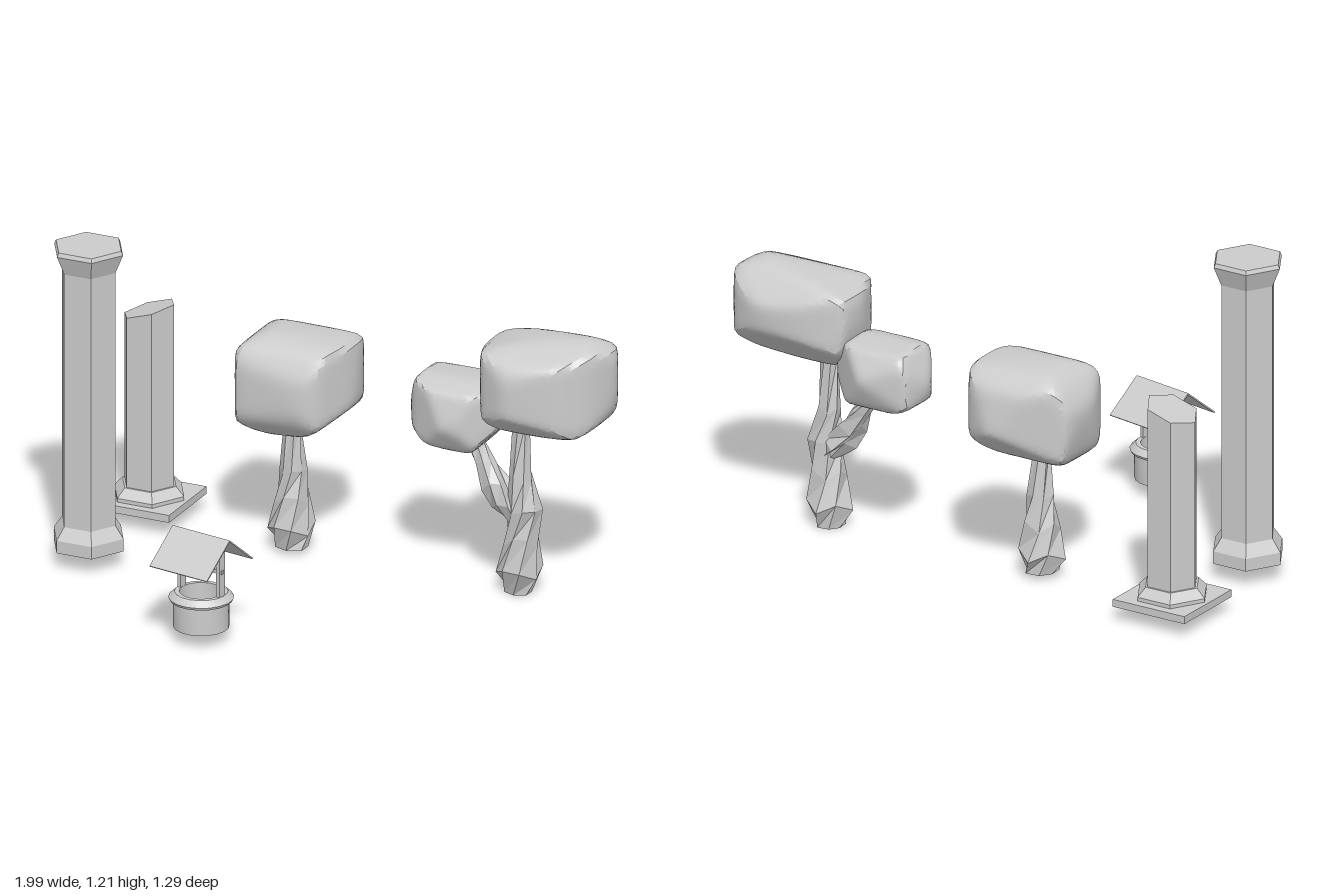
import * as THREE from 'three';
import { toCreasedNormals } from 'three/addons/utils/BufferGeometryUtils.js';

const smooth = new THREE.MeshStandardMaterial({ color: 0xcccccc });
const flat = new THREE.MeshStandardMaterial({ color: 0xcccccc, flatShading: true });

function add(parent, name, geometry, material, x = 0, y = 0, z = 0) {
  const mesh = new THREE.Mesh(geometry, material);
  mesh.name = name;
  mesh.position.set(x, y, z);
  parent.add(mesh);
  return mesh;
}

function group(parent, name) {
  const g = new THREE.Group();
  g.name = name;
  parent.add(g);
  return g;
}

// Turned profile of [radius, y] pairs, with corners on the x axis when six-sided
function turned(profile, sides) {
  return new THREE.LatheGeometry(profile.map(([r, y]) => new THREE.Vector2(r, y)), sides, Math.PI / 2);
}

// Leafy boulder: a sphere pushed out to the rounded intersection of three outlines.
// front holds x,y pairs, side holds z,y pairs, top holds x,z pairs.
function crown(center, front, side, top) {
  const planes = [];
  for (const [outline, u, v] of [[front, 0, 1], [side, 2, 1], [top, 0, 2]]) {
    outline.forEach(([a, b], i) => {
      const [c, d] = outline[(i + 1) % outline.length];
      const n = [0, 0, 0];
      const length = Math.hypot(c - a, d - b);
      n[u] = (d - b) / length;
      n[v] = (a - c) / length;
      const h = n[u] * (a - center[u]) + n[v] * (b - center[v]);
      planes.push(new THREE.Vector3(...n).divideScalar(h));
    });
  }
  const geometry = new THREE.IcosahedronGeometry(1, 11);
  const p = geometry.attributes.position;
  const d = new THREE.Vector3();
  const power = 26;
  for (let i = 0; i < p.count; i++) {
    d.fromBufferAttribute(p, i).normalize();
    let sum = 0;
    for (const n of planes) sum += Math.max(0, n.dot(d)) ** power;
    d.multiplyScalar(1.02 * sum ** (-1 / power));
    p.setXYZ(i, d.x + center[0], d.y + center[1], d.z + center[2]);
  }
  return toCreasedNormals(geometry, 0.4);
}

// Gnarled trunk through rings of [x, y, z, radius]
function trunk(rings, sides = 7) {
  const points = [], index = [];
  rings.forEach(([x, y, z, r], k) => {
    for (let i = 0; i < sides; i++) {
      const a = (i + 0.45 * k) / sides * Math.PI * 2;
      const rr = r * (1 + 0.1 * Math.sin(i * 2.4 + k * 1.7));
      const lift = k > 0 && k < rings.length - 1 ? 0.02 * Math.sin(i * 3.1 + k) : 0;
      points.push(x + rr * Math.sin(a), y + lift, z + rr * Math.cos(a));
    }
  });
  const last = (rings.length - 1) * sides;
  for (let i = 0; i < sides; i++) {
    const j = (i + 1) % sides;
    for (let k = 0; k < last; k += sides) {
      index.push(k + i, k + j, k + sides + j, k + i, k + sides + j, k + sides + i);
    }
    if (i > 0 && i < sides - 1) index.push(0, j, i, last, last + i, last + j);
  }
  const geometry = new THREE.BufferGeometry();
  geometry.setAttribute('position', new THREE.Float32BufferAttribute(points, 3));
  geometry.setIndex(index);
  geometry.computeVertexNormals();
  return geometry;
}

export function createModel() {
  const model = new THREE.Group();
  model.name = 'gardenScene';

  // Whole six-sided column
  add(model, 'tallColumn', turned([
    [0, 0.063], [0.137, 0.063], [0.137, 0.11], [0.105, 0.155],
    [0.105, 1.118], [0.135, 1.19], [0.128, 1.205], [0, 1.205],
  ], 6), flat, -0.85, 0, 0);

  // Broken column on a square plinth, its top sheared off at a slant
  const broken = group(model, 'brokenColumn');
  broken.position.set(-0.845, 0, -0.483);
  add(broken, 'plinth', new THREE.BoxGeometry(0.302, 0.028, 0.306), flat, 0, 0.069, 0);
  const stump = turned([
    [0, 0.08], [0.137, 0.08], [0.137, 0.097], [0.105, 0.13], [0.097, 0.13], [0.097, 0.79], [0, 0.79],
  ], 6);
  const p = stump.attributes.position;
  for (let i = 0; i < p.count; i++) {
    if (p.getY(i) > 0.7) p.setY(i, p.getY(i) + 0.32 * p.getX(i));
  }
  add(broken, 'brokenShaft', stump, flat);

  // Well with a gabled roof
  const well = group(model, 'well');
  well.position.set(-0.172, 0, 0.49);
  well.rotation.y = -0.18;
  add(well, 'wellWall', toCreasedNormals(turned([
    [0, 0.053], [0.1, 0.053], [0.1, 0.152], [0.112, 0.155], [0.117, 0.165],
    [0.095, 0.186], [0.078, 0.186], [0.078, 0.09], [0, 0.09],
  ], 18), 0.5), smooth);
  for (const s of [-1, 1]) {
    add(well, 'roofPost', new THREE.BoxGeometry(0.014, 0.21, 0.034), flat, s * 0.085, 0.285, 0);
    const panel = add(well, 'roofPanel', new THREE.BoxGeometry(0.25, 0.005, 0.176), flat, 0, 0.349, s * 0.0685);
    panel.rotation.x = s * 0.677;
  }
  add(well, 'crossbar', new THREE.BoxGeometry(0.19, 0.014, 0.014), flat, 0, 0.278, 0);

  // Single tree
  const tree = group(model, 'singleTree');
  add(tree, 'trunk', trunk([
    [-0.245, 0.02, -0.41, 0.06], [-0.25, 0.09, -0.41, 0.083], [-0.25, 0.2, -0.41, 0.064],
    [-0.245, 0.31, -0.41, 0.047], [-0.25, 0.5, -0.41, 0.03],
  ]), flat);
  add(tree, 'crown', crown([-0.24, 0.64, -0.44],
    [[-0.473, 0.69], [-0.41, 0.79], [-0.33, 0.835], [-0.15, 0.83], [-0.03, 0.81], [-0.01, 0.66],
      [-0.02, 0.58], [-0.155, 0.475], [-0.325, 0.44], [-0.43, 0.505], [-0.46, 0.6]],
    [[-0.232, 0.6], [-0.24, 0.7], [-0.3, 0.8], [-0.4, 0.84], [-0.54, 0.82], [-0.615, 0.757],
      [-0.65, 0.6], [-0.555, 0.5], [-0.4, 0.44], [-0.345, 0.455], [-0.27, 0.52]],
    [[-0.47, -0.51], [-0.45, -0.565], [-0.175, -0.655], [-0.055, -0.59], [-0.005, -0.45],
      [-0.085, -0.27], [-0.15, -0.238], [-0.4, -0.265], [-0.46, -0.39]]), smooth);

  // Forked tree with two crowns
  const forked = group(model, 'forkedTree');
  add(forked, 'trunk', trunk([
    [0.64, 0, -0.415, 0.05], [0.645, 0.08, -0.41, 0.082], [0.652, 0.2, -0.405, 0.063],
    [0.665, 0.32, -0.405, 0.06], [0.645, 0.44, -0.41, 0.042], [0.645, 0.64, -0.41, 0.032],
  ]), flat);
  add(forked, 'branch', trunk([
    [0.655, 0.25, -0.41, 0.035], [0.6, 0.32, -0.41, 0.056], [0.55, 0.39, -0.41, 0.05],
    [0.5, 0.47, -0.42, 0.038], [0.455, 0.54, -0.43, 0.035],
  ]), flat);
  add(forked, 'largeCrown', crown([0.74, 0.8, -0.43],
    [[0.484, 0.826], [0.5, 0.917], [0.628, 0.96], [0.885, 0.992], [0.99, 0.94], [0.997, 0.794],
      [0.97, 0.703], [0.906, 0.65], [0.73, 0.612], [0.596, 0.623], [0.52, 0.703]],
    [[-0.219, 0.81], [-0.225, 0.858], [-0.264, 0.918], [-0.442, 0.995], [-0.526, 0.97],
      [-0.628, 0.862], [-0.614, 0.764], [-0.474, 0.638], [-0.414, 0.607], [-0.344, 0.628], [-0.222, 0.729]],
    [[0.487, -0.447], [0.492, -0.543], [0.62, -0.6], [0.813, -0.63], [0.94, -0.575], [0.997, -0.48],
      [0.94, -0.35], [0.84, -0.27], [0.668, -0.227], [0.55, -0.286]]), smooth);
  add(forked, 'smallCrown', crown([0.38, 0.64, -0.44],
    [[0.195, 0.64], [0.26, 0.773], [0.49, 0.773], [0.57, 0.71], [0.575, 0.62], [0.457, 0.495],
      [0.33, 0.52], [0.217, 0.575]],
    [[-0.28, 0.62], [-0.32, 0.74], [-0.42, 0.775], [-0.55, 0.76], [-0.61, 0.66], [-0.56, 0.55],
      [-0.44, 0.495], [-0.34, 0.52]],
    [[0.198, -0.45], [0.225, -0.565], [0.41, -0.61], [0.46, -0.57], [0.57, -0.5], [0.57, -0.37],
      [0.45, -0.29], [0.39, -0.28], [0.246, -0.366]]), smooth);

  return model;
}
